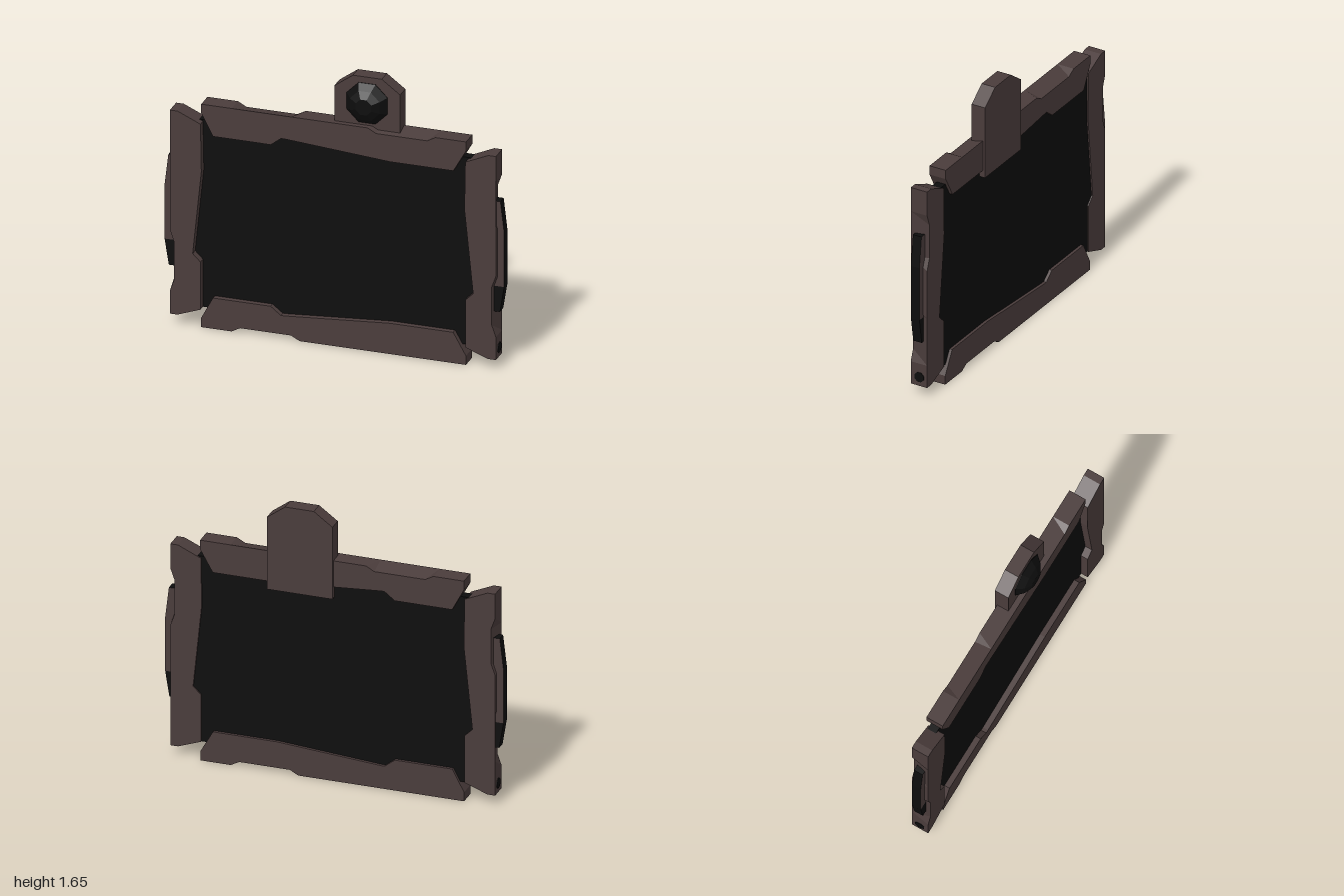
import * as THREE from 'three';

const V = (p) => new THREE.Vector2(p[0], p[1]);

// Solid between a front and a back outline with matching points.
// Group 0 holds the end faces, group 1 the rim.
function prism(front, back, zFront, zBack) {
  if (THREE.ShapeUtils.area(front.map(V)) < 0) {
    front = [...front].reverse();
    back = [...back].reverse();
  }
  const pos = [];
  const put = (p, z) => pos.push(p[0], p[1], z);
  for (const [a, b, c] of THREE.ShapeUtils.triangulateShape(front.map(V), [])) {
    put(front[a], zFront); put(front[b], zFront); put(front[c], zFront);
  }
  for (const [a, b, c] of THREE.ShapeUtils.triangulateShape(back.map(V), [])) {
    put(back[a], zBack); put(back[c], zBack); put(back[b], zBack);
  }
  const caps = pos.length / 3;
  front.forEach((p, i) => {
    const j = (i + 1) % front.length;
    put(p, zFront); put(back[i], zBack); put(front[j], zFront);
    put(front[j], zFront); put(back[i], zBack); put(back[j], zBack);
  });
  const g = new THREE.BufferGeometry();
  g.setAttribute('position', new THREE.Float32BufferAttribute(pos, 3));
  g.addGroup(0, caps, 0);
  g.addGroup(caps, pos.length / 3 - caps, 1);
  g.computeVertexNormals();
  return g;
}

export function createModel() {
  const model = new THREE.Group();
  const brown = new THREE.MeshStandardMaterial({ color: 0x4a3c3b });
  const black = new THREE.MeshStandardMaterial({ color: 0x0d0d0d });
  const add = (name, geometry, material) => {
    const mesh = new THREE.Mesh(geometry, material);
    mesh.name = name;
    model.add(mesh);
    return mesh;
  };

  // Dark screen slab
  add('screen', new THREE.BoxGeometry(1.74, 1.14, 0.055), black).position.set(0, 0.68, -0.0125);

  // Horizontal bars: outer edge is dented at the front on one half, at the back on the other
  const DENT = 0.027;
  const horizontal = (dentA, dentB) => [
    [-0.78, 0.055], [-0.71, 0.187], [-0.37, 0.187], [-0.31, 0.14], [-0.29, 0.14],
    [0.33, 0.187], [0.705, 0.187], [0.78, 0.055], [0.78, 0],
    [0.6, 0], [0.55, dentB], [0.25, dentB], [0.2, 0],
    [-0.2, 0], [-0.25, dentA], [-0.55, dentA], [-0.6, 0], [-0.78, 0],
  ];
  const flipY = (pts) => pts.map(([x, y]) => [x, 1.357 - y]);
  add('bottomBar', prism(horizontal(DENT, 0), horizontal(0, DENT), 0.048, -0.057), brown);
  add('topBar', prism(flipY(horizontal(0, DENT)), flipY(horizontal(DENT, 0)), 0.045, -0.06), brown);

  // Side bars, grips and screw holes
  const vertical = (low, high) => [
    [0.96, 0.06], [0.96, 0.2], [0.96 - low, 0.27], [0.96 - low, 0.5], [0.96, 0.57],
    [0.96, 0.8], [0.96 - high, 0.87], [0.96 - high, 1.08], [0.96, 1.15], [0.96, 1.3],
    [0.915, 1.3], [0.78, 1.24], [0.775, 0.95], [0.826, 0.445], [0.78, 0.4], [0.78, 0.11], [0.915, 0.06],
  ];
  const gripTop = [[0.92, 0.5], [1, 0.5], [1, 0.83], [0.978, 1.017], [0.92, 1.017]];
  const gripEnd = [[0.92, 0.345], [0.975, 0.345], [1, 0.5], [0.92, 0.5]];
  for (const [side, s] of [['left', 1], ['right', -1]]) {
    const m = (pts) => pts.map(([x, y]) => [x * s, y]);
    add(side + 'Bar', prism(m(vertical(0.025, 0)), m(vertical(0, 0.025)), 0.058, -0.048), brown);
    add(side + 'Grip', prism(m(gripTop), m(gripTop), 0.033, -0.022), [brown, black]);
    add(side + 'GripEnd', prism(m(gripEnd), m(gripEnd), 0.033, -0.022), black);
    const hole = add(side + 'ScrewHole', new THREE.CylinderGeometry(0.032, 0.032, 0.006, 8), black);
    hole.rotation.set(0, Math.PI / 8, Math.PI / 2, 'ZYX');
    hole.position.set(0.96 * s, 0.115, 0.003);
  }

  // Camera housing fixed behind the top bar
  const housing = [
    [-0.008, 1.127], [0.38, 1.127], [0.38, 1.57], [0.272, 1.65], [0.102, 1.65], [-0.008, 1.57],
  ];
  add('cameraHousing', prism(housing, housing, 0.012, -0.075), brown);

  // Faceted eight-sided lens dome
  const profile = [[0.13, 0], [0.13, 0.004], [0.094, 0.043], [0.05, 0.066], [0, 0.066]].map(V);
  const dome = new THREE.LatheGeometry(profile, 8, Math.PI / 8).toNonIndexed();
  dome.computeVertexNormals();
  const lens = add('lens', dome, black);
  lens.rotation.x = Math.PI / 2;
  lens.position.set(0.186, 1.492, 0.011);

  return model;
}
